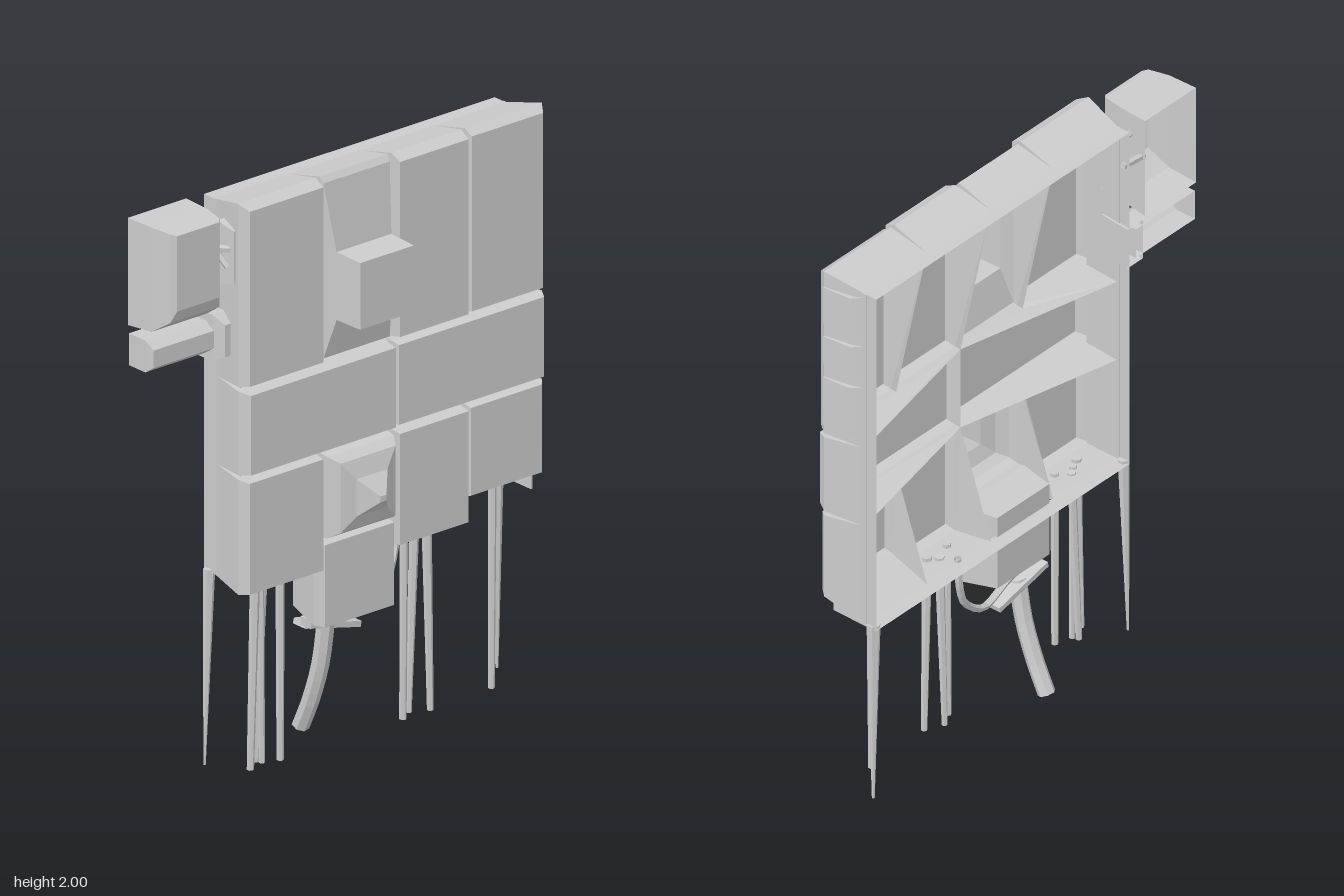
import * as THREE from 'three';

const mat = new THREE.MeshStandardMaterial({ color: 0xcccccc, flatShading: true, side: THREE.DoubleSide });

// Skin over rectangular rings [x0, x1, y0, y1, z], back to front; z may be one value per corner
function loft(rings, cap = true, backCap = false) {
  const corners = rings.map(([x0, x1, y0, y1, z]) => {
    const d = Array.isArray(z) ? z : [z, z, z, z];
    return [[x0, y0, d[0]], [x1, y0, d[1]], [x1, y1, d[2]], [x0, y1, d[3]]];
  });
  const pos = [];
  const quad = (a, b, c, d) => pos.push(...a, ...b, ...c, ...a, ...c, ...d);
  for (let i = 0; i + 1 < corners.length; i++)
    for (let j = 0; j < 4; j++) {
      const k = (j + 1) % 4;
      quad(corners[i][j], corners[i][k], corners[i + 1][k], corners[i + 1][j]);
    }
  if (cap) quad(...corners[corners.length - 1]);
  if (backCap) quad(...[...corners[0]].reverse());
  const g = new THREE.BufferGeometry();
  g.setAttribute('position', new THREE.Float32BufferAttribute(pos, 3));
  g.computeVertexNormals();
  return g;
}

// Tapered rod between two points
function rod(a, b, rTop, rEnd, sides = 6) {
  const A = new THREE.Vector3(...a), B = new THREE.Vector3(...b);
  const dir = A.clone().sub(B);
  const g = new THREE.CylinderGeometry(rTop, rEnd, dir.length(), sides);
  g.applyQuaternion(new THREE.Quaternion().setFromUnitVectors(new THREE.Vector3(0, 1, 0), dir.normalize()));
  g.translate(...A.add(B).multiplyScalar(0.5).toArray());
  return g;
}

export function createModel() {
  const model = new THREE.Group();
  const add = (name, g) => {
    const m = new THREE.Mesh(g, mat);
    m.name = name;
    model.add(m);
    return m;
  };

  // Outer frame limits
  const L = -0.47, R = 0.75, B = 0.67, T = 1.965;

  // Hollow bulging panel: deep walls on the outer frame, shallow grooves between neighbours
  function panel(name, x0, x1, y0, y1, { front = 0.085, bottom, extra = [] } = {}) {
    const depth = (x, y) => (x === L || x === R || y === B || y === T ? -0.1 : 0.03);
    const back = [x0, x1, y0, y1, [depth(x0, y0), depth(x1, y0), depth(x1, y1), depth(x0, y1)]];
    const a = x0 === L ? L - 0.025 : x0 + 0.008;
    const b = x1 === R ? R + 0.03 : x1 - 0.008;
    const c = bottom ?? (y0 === B ? B - 0.02 : y0 + 0.008);
    const d = y1 === T ? 2.0 : y1 - 0.008;
    const taper = y1 === T ? 0.02 : 0.006;
    add(name, loft([
      back,
      [a, b, c, d, 0.045],
      [a + (x0 === L ? 0.015 : 0.003), b - (x1 === R ? 0.02 : 0.003), c + 0.008, d - taper, front],
      ...extra,
    ]));
  }

  // Upper row, with the second panel swelling into a projecting box
  panel('upperPanel1', L, -0.16, 1.36, T);
  panel('upperPanel2', -0.16, 0.14, 1.36, T, {
    front: 0.06,
    extra: [[-0.12, 0.11, 1.51, 1.745, 0.09], [-0.115, 0.11, 1.51, 1.74, 0.2]],
  });
  panel('upperPanel3', 0.14, 0.45, 1.36, T);
  panel('upperPanel4', 0.45, R, 1.36, T, { front: 0.075 });
  // Middle row
  panel('middlePanel1', L, 0.14, 1.055, 1.36, { front: 0.09 });
  panel('middlePanel2', 0.14, R, 1.055, 1.36, { front: 0.08 });
  // Lower row, with a faceted dome on the second panel
  panel('lowerPanel1', L, -0.16, B, 1.055);
  panel('lowerPanel2', -0.16, 0.14, 0.745, 1.055, {
    front: 0.08,
    extra: [[-0.12, 0.11, 0.78, 1.02, 0.11], [-0.07, 0.06, 0.83, 0.96, 0.13], [-0.012, 0.012, 0.88, 0.9, 0.18]],
  });
  panel('lowerPanel3', 0.14, 0.45, B, 1.055);
  panel('lowerPanel4', 0.45, R, B, 1.055, { front: 0.07, bottom: 0.73 });

  // Open rim at the back and the thin walls behind the side bulges
  add('backRim', loft([[L, R, B, T, -0.15], [L, R, B, T, -0.09]], false));
  for (const x of [L, R]) {
    const wall = new THREE.BoxGeometry(0.006, T - B, 0.14);
    wall.translate(x, (T + B) / 2, -0.04);
    add('sideWall', wall);
  }
  // Ridges bridging the upper side bulges
  for (const [y0, y1] of [[1.4, 1.6], [1.63, 1.76], [1.79, 1.95]]) {
    add('sideBulge', loft([
      [0.73, 0.752, y0, y1, -0.1], [0.73, 0.775, y0 + 0.01, y1 - 0.01, -0.06], [0.73, 0.785, y0 + 0.01, y1 - 0.01, 0.045],
    ]));
  }

  // Box hanging below the second lower panel
  add('hangingBox', loft([
    [-0.14, 0.11, 0.47, 0.745, -0.1], [-0.165, 0.135, 0.45, 0.745, 0.03], [-0.16, 0.13, 0.455, 0.74, 0.08],
  ], true, true));
  const lip = new THREE.BoxGeometry(0.24, 0.02, 0.06);
  lip.rotateZ(-0.24);
  lip.translate(-0.03, 0.395, -0.06);
  add('hangingLip', lip);

  // Thin tapered legs: top x, foot x, top y, z, top radius, foot radius
  const legs = [
    [-0.47, -0.485, 0.68, -0.125, 0.02, 0.004], [-0.385, -0.4, 0.67, 0.0, 0.017, 0.012],
    [-0.345, -0.335, 0.67, -0.02, 0.013, 0.01], [-0.315, -0.345, 0.67, -0.04, 0.015, 0.011],
    [-0.28, -0.275, 0.67, 0.0, 0.015, 0.012], [0.24, 0.24, 0.67, 0.0, 0.014, 0.012],
    [0.31, 0.29, 0.67, -0.03, 0.017, 0.01], [0.335, 0.355, 0.67, 0.0, 0.017, 0.011],
    [0.62, 0.62, 0.74, -0.01, 0.014, 0.011], [0.735, 0.742, 0.68, -0.125, 0.024, 0.005],
  ];
  for (const [xt, xf, y, z, rt, rf] of legs) add('leg', rod([xt, y, z], [xf, 0.005, z - 0.005], rt, rf));

  // Bent drain pipe and the cable beside it
  const drain = new THREE.CatmullRomCurve3([
    [-0.045, 0.41, -0.05], [-0.045, 0.26, -0.075], [-0.047, 0.12, -0.12], [-0.048, 0.01, -0.17],
  ].map(p => new THREE.Vector3(...p)));
  add('drainPipe', new THREE.TubeGeometry(drain, 8, 0.03, 7));
  const cable = new THREE.CatmullRomCurve3([
    [-0.14, 0.43, -0.03], [0.0, 0.425, -0.05], [0.14, 0.4, -0.07], [0.24, 0.47, -0.08], [0.28, 0.56, -0.09], [0.29, 0.68, -0.09],
  ].map(p => new THREE.Vector3(...p)));
  add('cable', new THREE.TubeGeometry(cable, 16, 0.013, 5));

  // Side box, open at the back, with a sloping underside
  add('sideBox', loft([
    [-0.79, -0.545, 1.6, 1.97, -0.15], [-0.785, -0.55, 1.61, 1.97, -0.04],
    [-0.77, -0.565, 1.66, 1.965, 0.035], [-0.755, -0.58, 1.7, 1.96, 0.05],
  ]));

  // Side arm trough, flaring where it meets the frame
  add('sideArm', loft([
    [-0.785, -0.5, 1.46, 1.57, -0.15], [-0.785, -0.5, 1.46, 1.57, -0.07], [-0.78, -0.5, 1.485, 1.545, -0.035],
  ]));
  add('armFlange', loft([
    [-0.535, -0.46, 1.44, 1.59, -0.15], [-0.53, -0.46, 1.44, 1.6, -0.04], [-0.51, -0.46, 1.46, 1.57, 0.0],
  ]));

  // Tangle of struts joining the side box to the frame
  const struts = [
    [[-0.57, 1.87, -0.06], [-0.47, 1.78, -0.01]], [[-0.57, 1.8, -0.08], [-0.47, 1.9, -0.03]],
    [[-0.56, 1.84, -0.03], [-0.48, 1.83, 0.02]], [[-0.55, 1.9, -0.09], [-0.5, 1.77, 0.0]],
    [[-0.56, 1.82, -0.13], [-0.46, 1.83, -0.13]],
  ];
  for (const [a, b] of struts) add('strut', rod(a, b, 0.012, 0.012, 5));
  add('strutPlate', loft([[-0.51, -0.46, 1.7, 1.92, -0.04], [-0.5, -0.46, 1.72, 1.9, 0.03]]));

  // Small stub at the foot of the second lower panel
  const stub = new THREE.BoxGeometry(0.07, 0.03, 0.05);
  stub.translate(-0.12, 0.44, -0.02);
  add('cornerStub', stub);

  return model;
}
